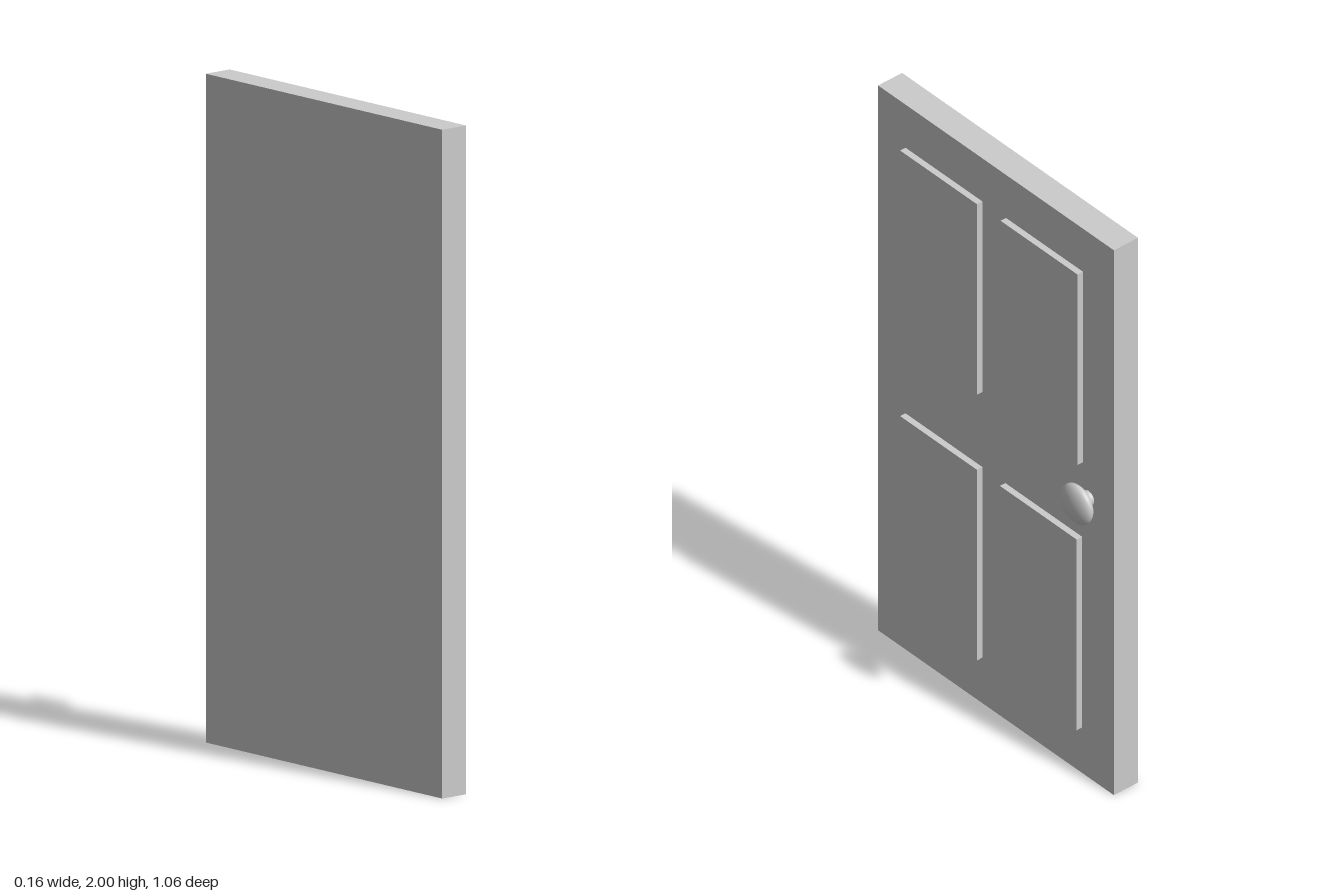
import * as THREE from 'three';

const material = new THREE.MeshStandardMaterial({ color: 0xcccccc });

function add(parent, name, geometry, x, y, z) {
  const mesh = new THREE.Mesh(geometry, material);
  mesh.name = name;
  mesh.position.set(x, y, z);
  parent.add(mesh);
  return mesh;
}

export function createModel() {
  const door = new THREE.Group();
  door.name = 'door';

  // Slab, with its panelled face towards +x
  const faceX = 0.01, backX = -0.083;
  add(door, 'slab', new THREE.BoxGeometry(faceX - backX, 2, 1.056), (faceX + backX) / 2, 1, 0);

  // Four raised panels, two by two
  const panel = new THREE.BoxGeometry(0.026, 0.7, 0.344);
  for (const [row, y] of [['lower', 0.517], ['upper', 1.492]]) {
    add(door, `${row}HingeSidePanel`, panel, 0.018, y, 0.233);
    add(door, `${row}KnobSidePanel`, panel, 0.018, y, row === 'upper' ? -0.217 : -0.214);
  }

  // Knob: short stem and a flattened ball
  const knob = new THREE.Group();
  knob.name = 'doorKnob';
  knob.position.set(faceX, 1.027, -0.415);
  door.add(knob);
  const stem = new THREE.CylinderGeometry(0.025, 0.025, 0.045, 32).rotateZ(-Math.PI / 2);
  add(knob, 'knobStem', stem, 0.0175, 0, 0);
  const ball = new THREE.SphereGeometry(0.067, 32, 20).rotateZ(-Math.PI / 2);
  ball.scale(0.4, 1, 1);
  ball.computeVertexNormals();
  add(knob, 'knobBall', ball, 0.045, 0, 0);

  return door;
}
